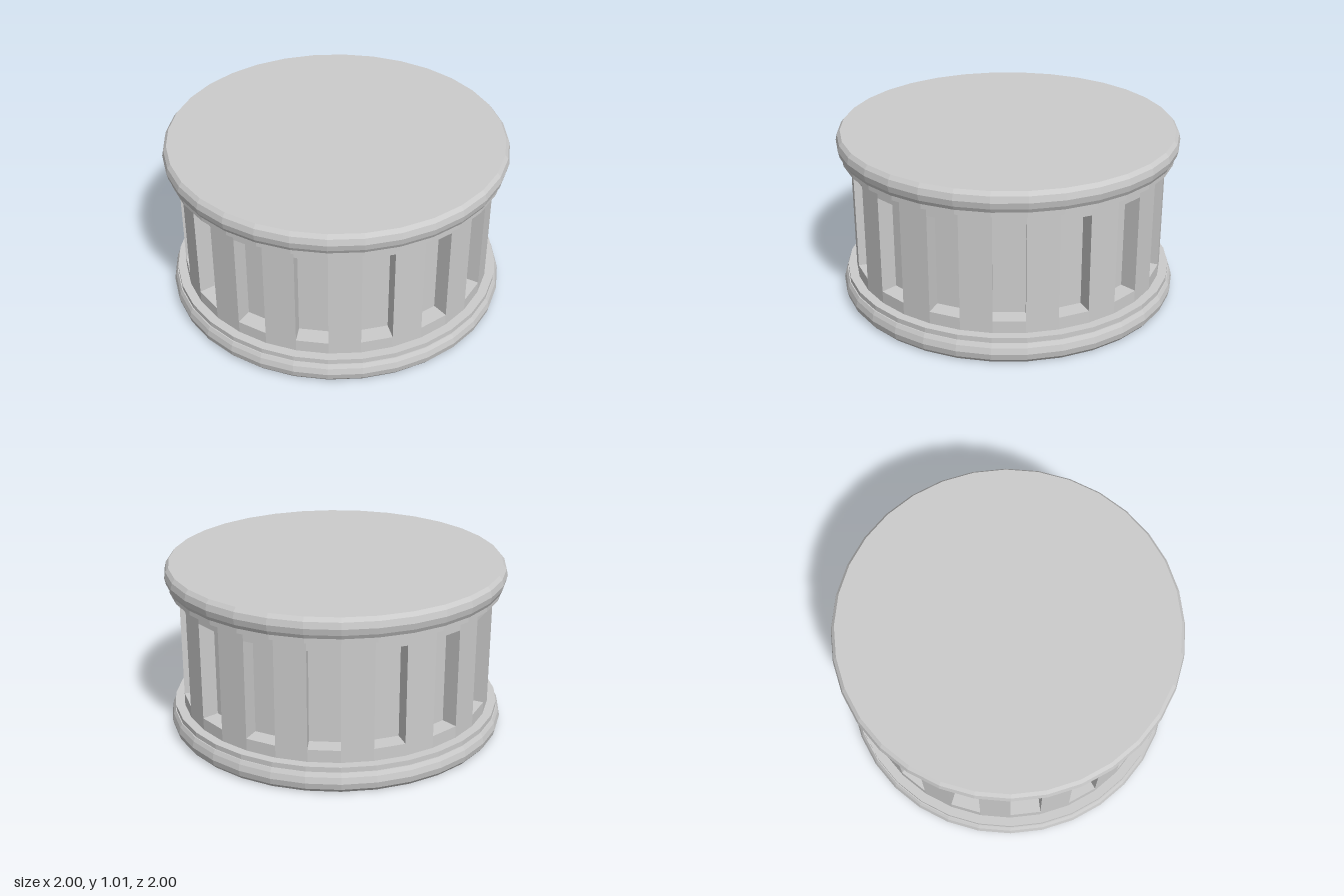
import * as THREE from 'three';
import { mergeGeometries } from 'three/addons/utils/BufferGeometryUtils.js';

const SIDES = 32, STEP = (Math.PI * 2) / SIDES;
const HEIGHT = 1.007, DRUM_R = 0.92;
const LEDGE_TOP = 0.147, SILL = 0.22, LINTEL = 0.797, DEPTH = 0.1;

// Faceted lathe with hard edges
function facetedLathe(profile) {
  const points = profile.map(([r, y]) => new THREE.Vector2(r, y));
  const geometry = new THREE.LatheGeometry(points, SIDES).toNonIndexed();
  geometry.computeVertexNormals();
  return geometry;
}

export function createModel() {
  const model = new THREE.Group();
  const grey = new THREE.MeshStandardMaterial({ color: 0xcccccc });
  grey.name = 'grey';
  const add = (name, geometry) => {
    const mesh = new THREE.Mesh(geometry, grey);
    mesh.name = name;
    model.add(mesh);
  };

  // Rounded rim with its stepped ledge, closed by a flat disc
  const rim = [
    [0, 0], [0.972, 0], [0.99, 0.022], [0.998, 0.058], [0.99, 0.094],
    [0.978, 0.117], [0.972, 0.117], [0.972, LEDGE_TOP], [DRUM_R, LEDGE_TOP],
  ];
  add('bottomRim', facetedLathe(rim));
  add('topRim', facetedLathe(rim.map(([r, y]) => [r, HEIGHT - y]).reverse()));

  // Plain bands of the drum below and above the recesses
  add('lowerBand', facetedLathe([[DRUM_R, LEDGE_TOP], [DRUM_R, SILL]]));
  add('upperBand', facetedLathe([[DRUM_R, LINTEL], [DRUM_R, HEIGHT - LEDGE_TOP]]));

  // Drum facets: flat pillars alternate with deep recesses
  const width = 2 * DRUM_R * Math.sin(STEP / 2);
  const front = DRUM_R * Math.cos(STEP / 2);
  const tall = LINTEL - SILL, midY = (SILL + LINTEL) / 2, midZ = front - DEPTH / 2;
  const plane = (w, h) => new THREE.PlaneGeometry(w, h);
  const pillar = plane(width, tall).translate(0, midY, front);
  const recess = mergeGeometries([
    plane(width, tall).translate(0, midY, front - DEPTH),
    plane(DEPTH, tall).rotateY(Math.PI / 2).translate(-width / 2, midY, midZ),
    plane(DEPTH, tall).rotateY(-Math.PI / 2).translate(width / 2, midY, midZ),
    plane(width, DEPTH).rotateX(-Math.PI / 2).translate(0, SILL, midZ),
    plane(width, DEPTH).rotateX(Math.PI / 2).translate(0, LINTEL, midZ),
  ]);
  const pillars = [], recesses = [];
  for (let i = 0; i < SIDES; i++) {
    const angle = (i + 0.5) * STEP;
    if (i % 2) recesses.push(recess.clone().rotateY(angle));
    else pillars.push(pillar.clone().rotateY(angle));
  }
  add('pillars', mergeGeometries(pillars));
  add('recesses', mergeGeometries(recesses));

  return model;
}
